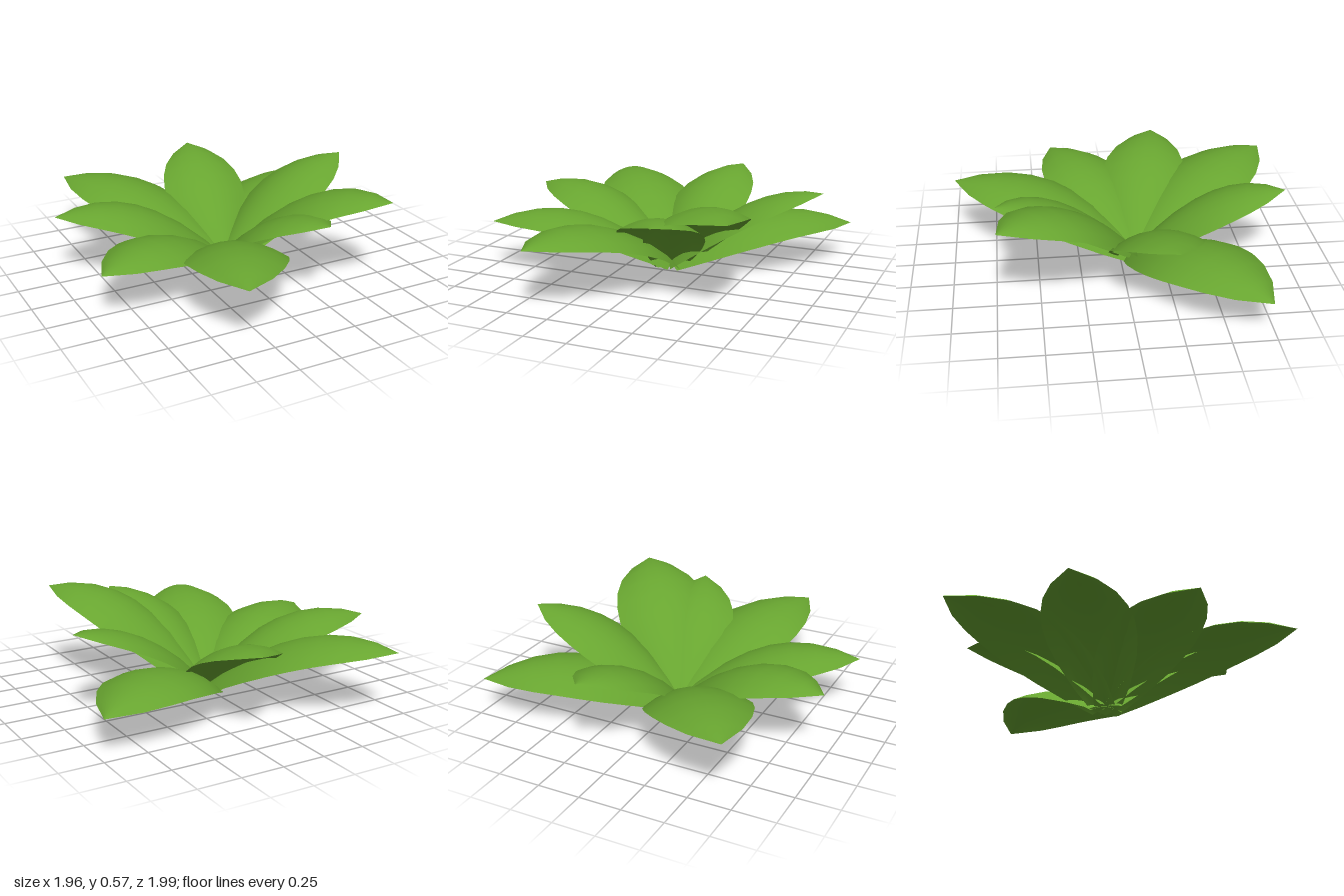
import * as THREE from 'three';

// Leaf outline: [distance along the rib, half-width factor]
const OUTLINE = [
  [0, 0.35], [0.1, 0.62], [0.25, 0.88], [0.38, 0.99], [0.5, 1],
  [0.62, 0.93], [0.75, 0.77], [0.88, 0.48], [1, 0],
];
const CENTRE = { x: 0.01, y: 0.028, z: -0.09 };

// Tip position, half-width and downward bend of each leaf
const LEAVES = [
  { tip: [-0.69, 0.37, -1.0], width: 0.3, bend: 0.72 },
  { tip: [0.18, 0.48, -0.96], width: 0.255, bend: 0.6 },
  { tip: [0.98, 0.22, -0.72], width: 0.3, bend: 0.73 },
  { tip: [0.92, 0.52, -0.22], width: 0.26, bend: 0.58 },
  { tip: [0.66, 0.55, 0.73], width: 0.29, bend: 0.83 },
  { tip: [0.24, 0.49, 0.74], width: 0.25, bend: 0.6 },
  { tip: [-0.4, 0.36, 0.99], width: 0.3, bend: 0.73 },
  { tip: [-0.96, 0.3, 0.37], width: 0.27, bend: 0.71 },
  { tip: [-0.98, 0.39, -0.32], width: 0.265, bend: 0.73 },
];

// A thin sheet running along +x, arched along its rib and across its width
function leafGeometry(length, rise, width, bend) {
  const across = 8;
  const geometry = new THREE.PlaneGeometry(1, 2, OUTLINE.length - 1, across);
  geometry.rotateX(-Math.PI / 2);
  const pos = geometry.attributes.position;
  const slope = rise + bend;
  for (let i = 0; i < pos.count; i++) {
    const [t, factor] = OUTLINE[i % OUTLINE.length];
    const v = pos.getZ(i);
    const w = width * factor;
    const dy = slope - 2 * bend * t;
    const norm = Math.hypot(length, dy);
    const sag = 0.33 * w * v * v;
    pos.setXYZ(
      i,
      length * t + (sag * dy) / norm,
      slope * t - bend * t * t - (sag * length) / norm,
      w * v,
    );
  }
  geometry.computeVertexNormals();
  return geometry;
}

export function createModel() {
  const plant = new THREE.Group();
  plant.name = 'leafRosette';
  const leafGreen = new THREE.MeshStandardMaterial({ color: 0x68a530, side: THREE.DoubleSide });
  leafGreen.name = 'leafGreen';

  LEAVES.forEach(({ tip, width, bend }, i) => {
    const dx = tip[0] - CENTRE.x;
    const dz = tip[2] - CENTRE.z;
    const geometry = leafGeometry(Math.hypot(dx, dz), tip[1] - CENTRE.y, width, bend);
    const leaf = new THREE.Mesh(geometry, leafGreen);
    leaf.name = `leaf${i + 1}`;
    leaf.position.set(CENTRE.x, CENTRE.y, CENTRE.z);
    leaf.rotation.y = -Math.atan2(dz, dx);
    plant.add(leaf);
  });
  return plant;
}
